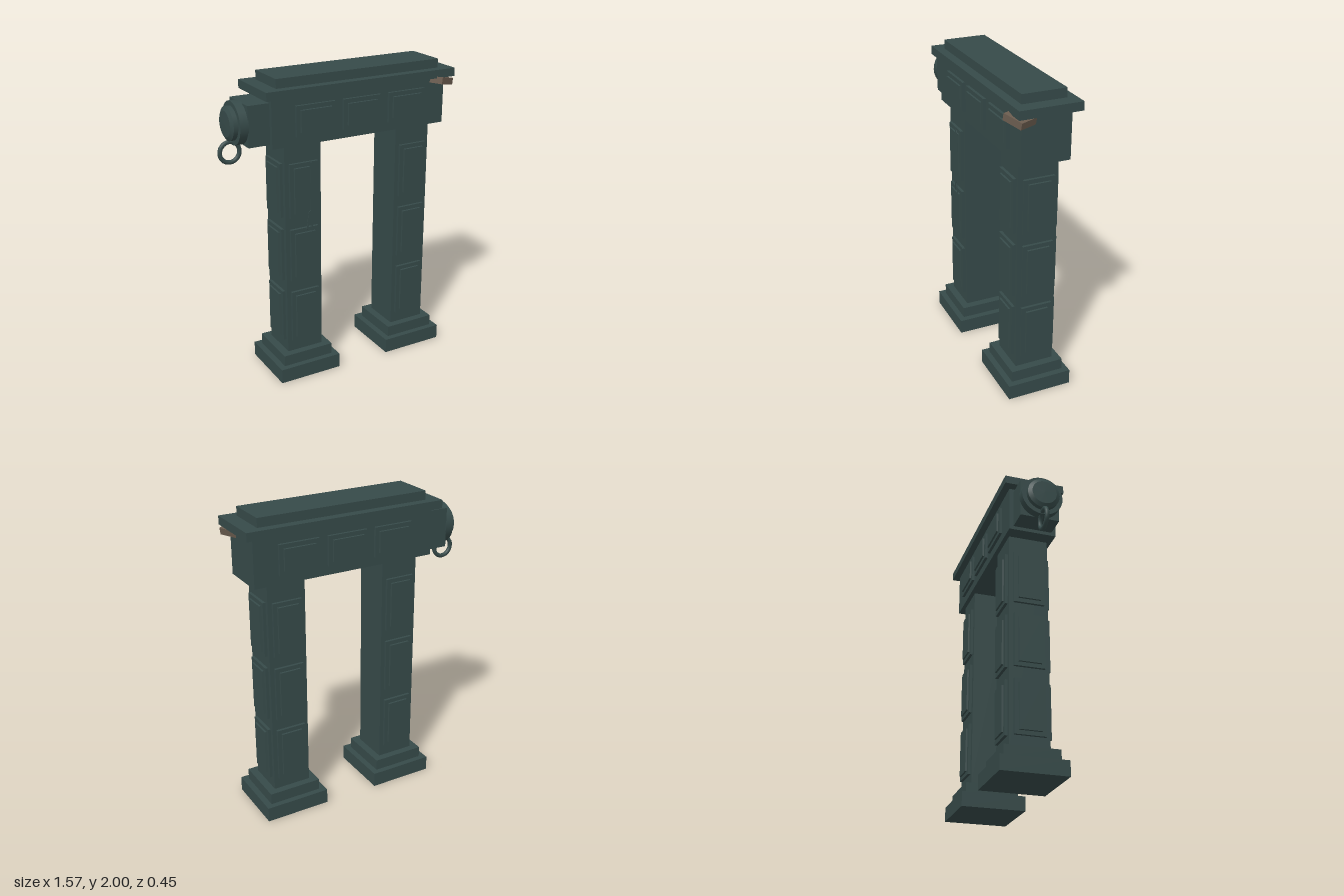
import * as THREE from 'three';

export function createModel() {
  const stone = new THREE.MeshStandardMaterial({ color: 0x364a49 });
  stone.name = 'dark stone';
  const wood = new THREE.MeshStandardMaterial({ color: 0x6b5c4f });
  wood.name = 'brown fragment';
  const model = new THREE.Group();
  model.name = 'gateway';
  const ZC = -0.0125; // depth centre of the masonry

  function add(name, geometry, parent = model, material = stone) {
    const mesh = new THREE.Mesh(geometry, material);
    mesh.name = name;
    parent.add(mesh);
    return mesh;
  }
  // Block centred on ZC, given x and y ranges and depth
  function block(name, x0, x1, y0, y1, depth, parent) {
    const mesh = add(name, new THREE.BoxGeometry(x1 - x0, y1 - y0, depth), parent);
    mesh.position.set((x0 + x1) / 2, (y0 + y1) / 2, ZC);
    return mesh;
  }
  // Plate standing on z = 0 whose front face is slightly inset
  function plate(w, h, d, inset) {
    const g = new THREE.BoxGeometry(w, h, d).toNonIndexed();
    const p = g.attributes.position;
    for (let i = 0; i < p.count; i++) {
      if (p.getZ(i) > 0) {
        p.setX(i, p.getX(i) - Math.sign(p.getX(i)) * inset);
        p.setY(i, p.getY(i) - Math.sign(p.getY(i)) * inset);
      }
    }
    g.translate(0, 0, d / 2);
    g.computeVertexNormals();
    return g;
  }
  // Stepped panel: a frame plate with a raised centre
  function panel(w, h, margin, x, y, z, turn, parent) {
    const group = new THREE.Group();
    group.name = 'panel';
    add('panelFrame', plate(w, h, 0.018, 0), group);
    add('panelCentre', plate(w - 2 * margin, h - 2 * margin, 0.029, 0.004), group);
    group.position.set(x, y, z);
    group.rotation.y = turn;
    parent.add(group);
  }

  // Two pillars with plinths; panels on front, back and outer side
  for (const [name, cx, side] of [['rightPillar', -0.285, -1], ['leftPillar', 0.515, 1]]) {
    const pillar = new THREE.Group();
    pillar.name = name;
    model.add(pillar);
    block('plinthBase', cx - 0.215, cx + 0.215, 0, 0.097, 0.425, pillar);
    block('plinthStep', cx - 0.175, cx + 0.175, 0.097, 0.17, 0.35, pillar);
    block('shaft', cx - 0.125, cx + 0.125, 0.17, 1.585, 0.255, pillar);
    for (const y of [0.425, 0.857, 1.288]) {
      panel(0.195, 0.352, 0.024, cx, y, ZC + 0.1275, 0, pillar);
      panel(0.195, 0.352, 0.024, cx, y, ZC - 0.1275, Math.PI, pillar);
      panel(0.2, 0.352, 0.024, cx + side * 0.125, y, ZC, side * Math.PI / 2, pillar);
    }
  }

  // Lintel with three panels on each face
  block('lintel', -0.5, 0.73, 1.582, 1.882, 0.31);
  for (const x of [-0.212, 0.113, 0.439]) {
    panel(0.266, 0.192, 0.024, x, 1.735, ZC + 0.155, 0, model);
    panel(0.266, 0.192, 0.024, x, 1.735, ZC - 0.155, Math.PI, model);
  }

  // Roof slabs
  block('roofBed', -0.46, 0.69, 1.88, 1.89, 0.28);
  block('cornice', -0.55, 0.783, 1.888, 1.942, 0.395);
  block('topSlab', -0.46, 0.69, 1.942, 2.0, 0.28);

  // Side bracket with stepped round boss
  block('bracket', -0.64, -0.5, 1.605, 1.86, 0.255);
  const bossProfile = [[0.134, 0], [0.134, 0.055], [0.105, 0.055], [0.105, 0.083], [0.08, 0.097], [0, 0.099]];
  // Every step is its own band so that edges stay sharp
  for (let i = 0; i < bossProfile.length - 1; i++) {
    const band = add('boss', new THREE.LatheGeometry(
      [bossProfile[i], bossProfile[i + 1]].map(([r, y]) => new THREE.Vector2(r, y)), 28));
    band.rotation.z = Math.PI / 2;
    band.position.set(-0.636, 1.735, ZC);
  }
  const bossBack = add('bossBack', new THREE.CircleGeometry(0.134, 28));
  bossBack.rotation.y = Math.PI / 2;
  bossBack.position.set(-0.636, 1.735, ZC);

  // Hanging ring
  const ring = add('ring', new THREE.TorusGeometry(0.064, 0.014, 10, 28));
  ring.position.set(-0.708, 1.557, ZC - 0.002);

  // Thin forked crack on the right pillar
  const crack = new THREE.Shape([
    [-0.25, 1.46], [-0.24, 1.46], [-0.215, 1.44], [-0.226, 1.14], [-0.238, 1.14], [-0.232, 1.01],
    [-0.24, 1.01], [-0.25, 1.11], [-0.27, 1.02], [-0.278, 1.03], [-0.262, 1.14], [-0.248, 1.15],
  ].map(([x, y]) => new THREE.Vector2(x, y)));
  add('crack', new THREE.ExtrudeGeometry(crack, { depth: 0.004, bevelEnabled: false }))
    .position.z = 0.143;

  // Tilted fragment lodged below the cornice
  const fragment = add('fragment', new THREE.BoxGeometry(0.136, 0.043, 0.125), model, wood);
  fragment.rotation.set(0, 0.42, -0.2, 'YXZ');
  fragment.position.set(0.697, 1.864, 0.14);

  return model;
}
